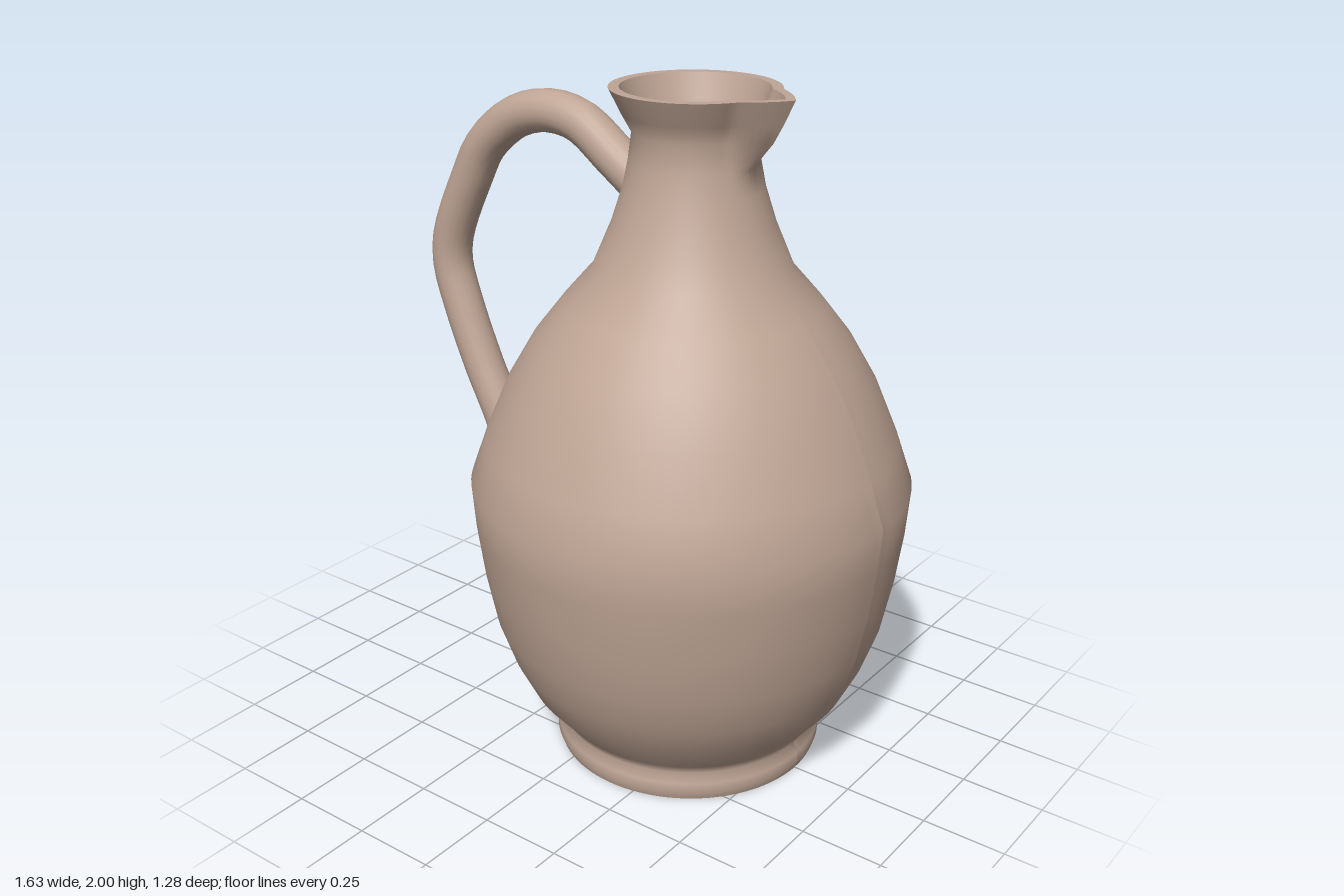
import * as THREE from 'three';

const AXIS_X = 0.17; // the vessel stands off-centre, balancing the handle

export function createModel() {
  const group = new THREE.Group();
  const clay = new THREE.MeshStandardMaterial({ color: 0xbfa595 });

  // Vessel: outer wall, rim and inner wall in one profile (doubled points keep edges sharp)
  const profile = [
    [0, 0], [0.395, 0], [0.395, 0], [0.404, 0.025], [0.402, 0.055], [0.388, 0.085],
    [0.405, 0.115], [0.485, 0.21], [0.54, 0.32], [0.582, 0.44], [0.612, 0.59], [0.632, 0.74],
    [0.642, 0.87], [0.597, 1.0], [0.53, 1.16], [0.455, 1.29], [0.37, 1.4], [0.283, 1.5],
    [0.228, 1.63], [0.196, 1.73], [0.182, 1.8], [0.172, 1.88], [0.2, 1.93], [0.235, 2],
    [0.235, 2], [0.205, 2], [0.205, 2], [0.18, 1.93], [0.16, 1.88], [0.162, 1.8], [0.176, 1.73],
    [0.205, 1.63], [0.255, 1.5], [0.34, 1.39], [0.5, 1.15], [0.61, 0.87], [0.58, 0.59],
    [0.5, 0.3], [0.36, 0.08], [0.36, 0.08], [0, 0.08],
  ].map(([r, y]) => new THREE.Vector2(r, y));
  const vesselGeo = new THREE.LatheGeometry(profile, 96, Math.PI / 2);

  // Pull the lip out to a pointed pouring spout towards +x
  const pos = vesselGeo.attributes.position;
  for (let i = 0; i < pos.count; i++) {
    const x = pos.getX(i), y = pos.getY(i), z = pos.getZ(i);
    const rise = THREE.MathUtils.clamp((y - 1.8) / 0.08, 0, 1);
    const near = Math.max(0, 1 - Math.abs(Math.atan2(z, x)) / 0.5);
    if (rise === 0 || near === 0) continue;
    const r = Math.hypot(x, z);
    const k = (r + 0.08 * rise * Math.pow(near, 1.2)) / r;
    pos.setX(i, x * k);
    pos.setZ(i, z * k);
  }
  vesselGeo.computeVertexNormals();
  const vessel = new THREE.Mesh(vesselGeo, clay);
  vessel.name = 'vessel';
  vessel.position.x = AXIS_X;
  group.add(vessel);

  // Handle: bent round rod from the neck over and down past the belly
  const path = new THREE.CatmullRomCurve3([
    [-0.01, 1.705], [-0.11, 1.775], [-0.22, 1.85], [-0.33, 1.87], [-0.46, 1.84], [-0.59, 1.74],
    [-0.655, 1.63], [-0.745, 1.43], [-0.752, 1.34], [-0.71, 1.2], [-0.64, 1.03],
    [-0.545, 0.83], [-0.517, 0.68], [-0.545, 0.58], [-0.607, 0.475],
  ].map(([x, y]) => new THREE.Vector3(x, y, 0)));
  const handle = new THREE.Group();
  handle.name = 'handle';
  const rod = new THREE.Mesh(new THREE.TubeGeometry(path, 48, 0.063, 20), clay);
  rod.name = 'handleRod';
  handle.add(rod);

  // Flat ends of the rod
  [0, 1].forEach((t) => {
    const cap = new THREE.Mesh(new THREE.CircleGeometry(0.063, 20), clay);
    cap.name = t ? 'handleLowerEnd' : 'handleUpperEnd';
    const out = path.getTangentAt(t).multiplyScalar(t ? 1 : -1);
    cap.position.copy(path.getPointAt(t));
    cap.quaternion.setFromUnitVectors(new THREE.Vector3(0, 0, 1), out);
    handle.add(cap);
  });
  group.add(handle);

  return group;
}
